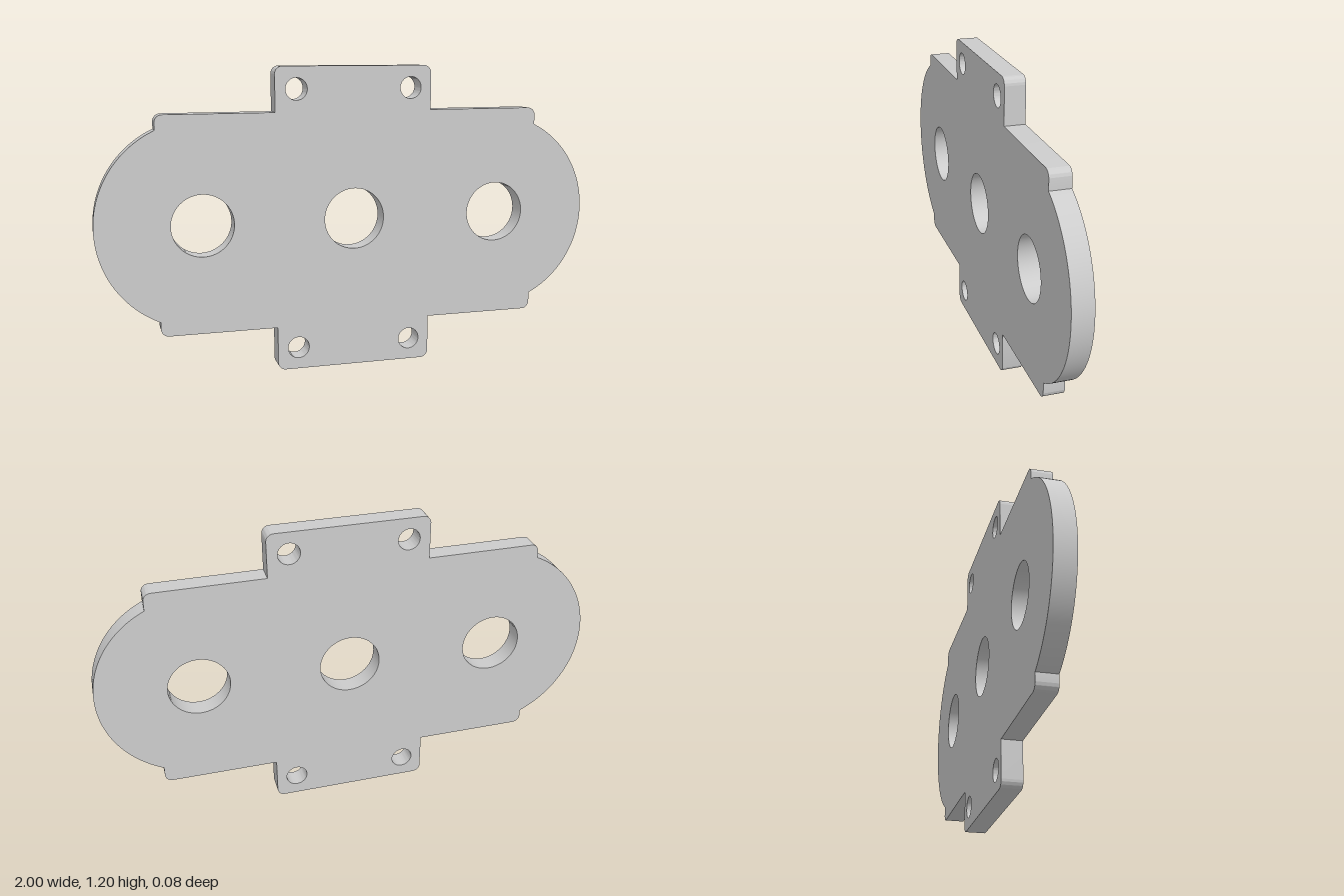
import * as THREE from 'three';
import { toCreasedNormals } from 'three/addons/utils/BufferGeometryUtils.js';

const MID_Y = 0.6, THICKNESS = 0.08, CORNER = 0.03;

// Rounded outer corner; quadrant 0 = upper right, counted counter-clockwise
function corner(shape, x, y, quadrant) {
  const sx = quadrant === 0 || quadrant === 3 ? 1 : -1;
  const sy = quadrant < 2 ? 1 : -1;
  const start = quadrant * Math.PI / 2;
  shape.absarc(x - sx * CORNER, y - sy * CORNER, CORNER, start, start + Math.PI / 2, false);
}

function hole(shape, x, y, radius) {
  const path = new THREE.Path();
  path.absarc(x, y, radius, 0, Math.PI * 2, true);
  shape.holes.push(path);
}

export function createModel() {
  const group = new THREE.Group();
  const shape = new THREE.Shape();

  // Outline, counter-clockwise: round end, shoulder, tab, and back again
  const right = Math.acos(0.17 / 0.395), left = Math.acos(0.17 / 0.405);
  shape.absarc(0.605, MID_Y, 0.395, -right, right, false);
  corner(shape, 0.775, 1.025, 0);
  shape.lineTo(0.32, 1.025);
  corner(shape, 0.32, 1.2, 0);
  corner(shape, -0.31, 1.2, 1);
  shape.lineTo(-0.31, 1.025);
  corner(shape, -0.765, 1.025, 1);
  shape.absarc(-0.595, MID_Y, 0.405, Math.PI - left, Math.PI + left, false);
  corner(shape, -0.765, 0.175, 2);
  shape.lineTo(-0.31, 0.175);
  corner(shape, -0.31, 0, 2);
  corner(shape, 0.32, 0, 3);
  shape.lineTo(0.32, 0.175);
  corner(shape, 0.775, 0.175, 3);
  shape.closePath();

  // Three large bores and four screw holes
  for (const x of [-0.595, 0.005, 0.605]) hole(shape, x, MID_Y, 0.121);
  for (const x of [-0.226, 0.236])
    for (const y of [0.087, 1.113]) hole(shape, x, y, 0.043);

  const geometry = new THREE.ExtrudeGeometry(shape, {
    depth: THICKNESS, bevelEnabled: false, curveSegments: 32,
  });
  geometry.translate(0, 0, -THICKNESS / 2);

  const plate = new THREE.Mesh(
    toCreasedNormals(geometry, Math.PI / 6),
    new THREE.MeshStandardMaterial({ color: 0xcccccc }),
  );
  plate.name = 'mountingPlate';
  group.add(plate);
  return group;
}
